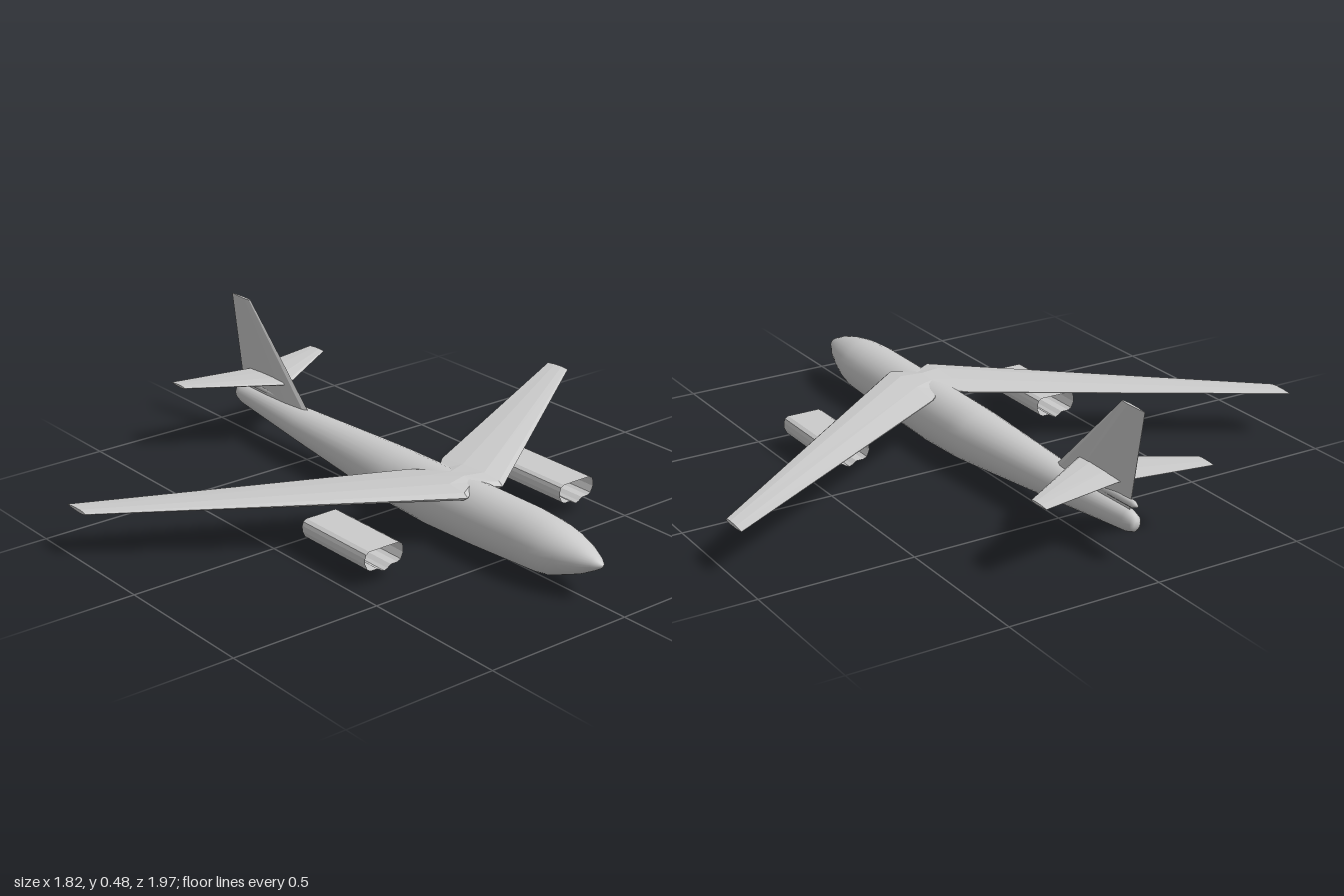
import * as THREE from 'three';

const material = new THREE.MeshStandardMaterial({ color: 0xcccccc, side: THREE.DoubleSide });
const flatMaterial = new THREE.MeshStandardMaterial({ color: 0xcccccc, side: THREE.DoubleSide, flatShading: true });

// Skin between matching rings of [x, y, z] points, optionally capped, always wound outward
function loft(rings, capped = true) {
  const n = rings[0].length, last = (rings.length - 1) * n, index = [];
  for (let r = 0; r < rings.length - 1; r++) {
    for (let i = 0; i < n; i++) {
      const j = (i + 1) % n, a = r * n + i, b = r * n + j;
      index.push(a, b, b + n, a, b + n, a + n);
    }
  }
  if (capped) {
    for (let i = 1; i < n - 1; i++) index.push(0, i + 1, i, last, last + i, last + i + 1);
  }
  const points = rings.flat().map(p => new THREE.Vector3(...p));
  const centre = points.reduce((s, p) => s.add(p), new THREE.Vector3()).divideScalar(points.length);
  let volume = 0;
  for (let i = 0; i < index.length; i += 3) {
    const [a, b, c] = [0, 1, 2].map(k => points[index[i + k]].clone().sub(centre));
    volume += a.dot(b.cross(c));
  }
  if (volume < 0) index.reverse();
  const geometry = new THREE.BufferGeometry().setFromPoints(points);
  geometry.setIndex(index);
  geometry.computeVertexNormals();
  return geometry;
}

// Ellipse across the x axis
function ellipse(x, bottom, top, halfWidth, sides = 28) {
  return Array.from({ length: sides }, (_, i) => {
    const a = i / sides * Math.PI * 2;
    return [x, (top + bottom) / 2 + Math.sin(a) * (top - bottom) / 2, Math.cos(a) * halfWidth];
  });
}

// Faceted aerofoil as [distance from leading edge, height], for a chord and thickness
function aerofoil(lead, trail, thick) {
  return [[0, 0], [0.06, 0.32], [0.3, 0.5], [0.65, 0.38], [1, 0.04], [1, -0.04], [0.65, -0.4], [0.3, -0.5], [0.06, -0.32]]
    .map(([t, h]) => [lead + (trail - lead) * t, h * thick]);
}

// Horizontal surface from tip to tip: stations are [z, lead x, trail x, y, thickness]
function span(stations) {
  const all = [...stations.slice(1).reverse().map(([z, ...s]) => [-z, ...s]), ...stations];
  return loft(all.map(([z, lead, trail, y, thick]) =>
    aerofoil(lead, trail, thick).map(([x, h]) => [x, y + h, z])));
}

export function createModel() {
  const model = new THREE.Group();
  model.name = 'aircraft';
  const add = (name, geometry, mat = flatMaterial) => {
    const mesh = new THREE.Mesh(geometry, mat);
    mesh.name = name;
    model.add(mesh);
    return mesh;
  };

  // Fuselage, tail to nose: x, bottom, top, half width
  const hull = [
    [-0.887, 0.125, 0.145, 0.008], [-0.88, 0.11, 0.162, 0.02], [-0.85, 0.1, 0.17, 0.027],
    [-0.5, 0.064, 0.181, 0.06], [-0.07, 0.018, 0.195, 0.088], [0, 0.011, 0.197, 0.09],
    [0.18, 0.002, 0.2, 0.09], [0.4, 0.009, 0.203, 0.09], [0.6, 0.021, 0.203, 0.09],
    [0.68, 0.025, 0.198, 0.086], [0.72, 0.032, 0.194, 0.08], [0.77, 0.052, 0.185, 0.07],
    [0.83, 0.076, 0.169, 0.05], [0.88, 0.104, 0.148, 0.026], [0.9, 0.117, 0.137, 0.012], [0.906, 0.126, 0.13, 0.002],
  ];
  add('fuselage', loft(hull.map(s => ellipse(...s))), material);

  // Tail fairing under the fin
  const fairing = [[-0.887, 0.186, 0.196, 0.005], [-0.87, 0.18, 0.203, 0.011], [-0.8, 0.178, 0.204, 0.012], [-0.55, 0.172, 0.184, 0.01]];
  add('tailFairing', loft(fairing.map(s => ellipse(...s, 12))), material);

  // Swept wing
  add('wing', span([
    [0, 0.35, 0.18, 0.187, 0.038],
    [0.07, 0.4, 0.115, 0.185, 0.038],
    [0.985, -0.28, -0.38, 0.155, 0.011],
  ]));

  // Tailplane
  add('tailplane', span([
    [0, -0.6, -0.81, 0.24, 0.018],
    [0.29, -0.785, -0.862, 0.242, 0.008],
  ]));

  // Fin
  const finStations = [[0.165, -0.475, -0.853, 0.024], [0.485, -0.803, -0.91, 0.01]];
  add('fin', loft(finStations.map(([y, lead, trail, thick]) =>
    aerofoil(lead, trail, thick).map(([x, h]) => [x, y, h]))));

  // Open engine pods with a keel along the underside
  const half = [[0.055, 0.117], [0.067, 0.11], [0.071, 0.098], [0.071, 0.08], [0.062, 0.06], [0.05, 0.054], [0.025, 0.054], [0.012, 0.045]];
  const outline = [...half, [0, 0.04], ...half.map(([z, y]) => [-z, y]).reverse()];
  for (const [name, side] of [['frontSidePod', 1], ['farSidePod', -1]]) {
    const rings = [0.09, 0.395].map(x => outline.map(([z, y]) => [x, y, z]));
    add(name, loft(rings, false)).position.z = side * 0.387;
  }

  return model;
}
